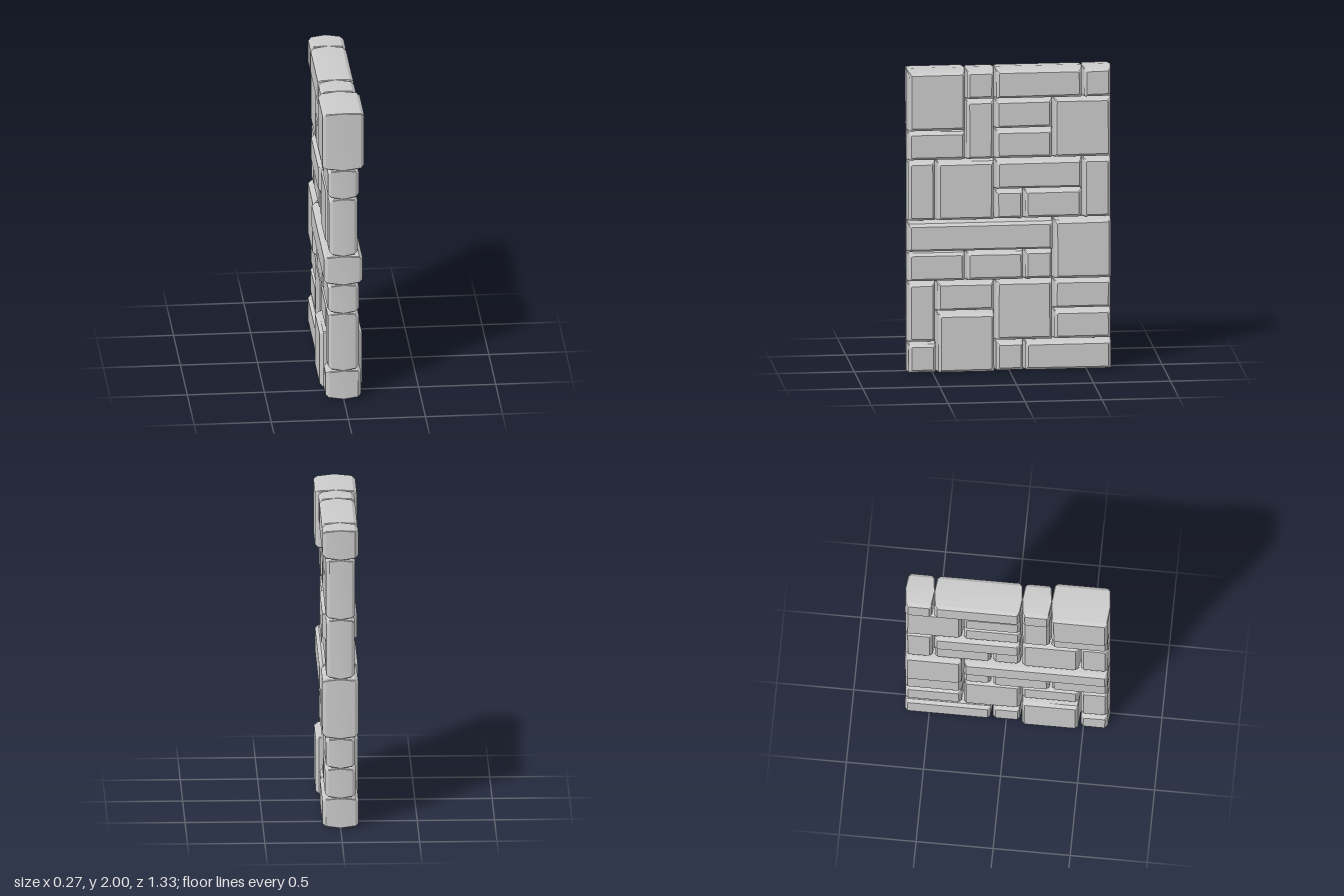
import * as THREE from 'three';
import { toCreasedNormals } from 'three/addons/utils/BufferGeometryUtils.js';

const material = new THREE.MeshStandardMaterial({ color: 0xcccccc });
const CELL_Z = 0.19, CELL_Y = 0.2, END_Z = 0.665;

// stones on a 7 x 10 cell grid: [column from, to, row from, to, half thickness]
const stones = [
  [0, 2, 8, 10, 0.135], [2, 3, 9, 10, 0.115], [3, 6, 9, 10, 0.115], [6, 7, 9, 10, 0.115],
  [2, 3, 7, 9, 0.095], [3, 5, 8, 9, 0.1], [3, 5, 7, 8, 0.095], [5, 7, 7, 9, 0.095],
  [0, 2, 7, 8, 0.1], [0, 1, 5, 7, 0.092], [1, 3, 5, 7, 0.1], [3, 6, 6, 7, 0.112],
  [3, 4, 5, 6, 0.09], [4, 6, 5, 6, 0.09], [6, 7, 5, 7, 0.092], [0, 5, 4, 5, 0.125],
  [5, 7, 3, 5, 0.115], [0, 2, 3, 4, 0.1], [2, 4, 3, 4, 0.105], [4, 5, 3, 4, 0.095],
  [0, 1, 1, 3, 0.1], [1, 3, 2, 3, 0.1], [3, 5, 1, 3, 0.1], [5, 7, 2, 3, 0.095],
  [5, 7, 1, 2, 0.1], [0, 1, 0, 1, 0.115], [1, 3, 0, 2, 0.137], [3, 4, 0, 1, 0.112],
  [4, 7, 0, 1, 0.117],
];

let seed = 7;
function random() {
  seed = (seed * 16807) % 2147483647;
  return seed / 2147483647;
}

// rectangle in the wall plane with cut corners, drawn inward by inset
function ring(x, width, height, inset, cut, wobble) {
  const w = width / 2 - inset, h = height / 2 - inset;
  const points = [];
  for (const [sy, sz, flip] of [[-1, -1, 0], [1, -1, 1], [1, 1, 0], [-1, 1, 1]]) {
    const dy = h - random() * wobble, dz = w - random() * wobble;
    const pair = [[x, sy * dy, sz * (dz - cut)], [x, sy * (dy - cut), sz * dz]];
    points.push(...(flip ? pair.reverse() : pair));
  }
  return points;
}

// stone lofted through the wall: bowed sides, then a bevel round each face
function stoneGeometry(width, height, half) {
  const rings = [
    ring(-half, width, height, 0.023, 0.006, 0.004),
    ring(-half + 0.022, width, height, 0.007, 0.006, 0.002),
    ring(0, width, height, 0, 0.002, 0),
    ring(half - 0.022, width, height, 0.007, 0.006, 0.002),
    ring(half, width, height, 0.023, 0.006, 0.004),
  ];
  const n = 8, index = [];
  for (let r = 0; r < rings.length - 1; r++) {
    for (let i = 0; i < n; i++) {
      const a = r * n + i, b = r * n + (i + 1) % n;
      index.push(a, b + n, b, a, a + n, b + n);
    }
  }
  const last = (rings.length - 1) * n;
  for (let i = 1; i < n - 1; i++) {
    index.push(0, i, i + 1, last, last + i + 1, last + i);
  }
  // the loops run so that these windings need turning to face outward
  for (let i = 0; i < index.length; i += 3) {
    [index[i + 1], index[i + 2]] = [index[i + 2], index[i + 1]];
  }
  const geometry = new THREE.BufferGeometry();
  geometry.setAttribute('position', new THREE.Float32BufferAttribute(rings.flat(2), 3));
  geometry.setIndex(index);
  return outward(toCreasedNormals(geometry, 0.4));
}

// turns the triangles of a convex, origin-centred shape to face outward
function outward(geometry) {
  const p = geometry.attributes.position, a = new THREE.Vector3();
  const b = new THREE.Vector3(), c = new THREE.Vector3();
  let volume = 0;
  for (let i = 0; i < p.count; i += 3) {
    a.fromBufferAttribute(p, i);
    b.fromBufferAttribute(p, i + 1);
    c.fromBufferAttribute(p, i + 2);
    volume += a.dot(b.cross(c));
  }
  if (volume > 0) return geometry;
  for (let i = 0; i < p.count; i += 3) {
    b.fromBufferAttribute(p, i + 1);
    c.fromBufferAttribute(p, i + 2);
    p.setXYZ(i + 1, c.x, c.y, c.z);
    p.setXYZ(i + 2, b.x, b.y, b.z);
  }
  geometry.deleteAttribute('normal');
  return toCreasedNormals(geometry, 0.4);
}

export function createModel() {
  const wall = new THREE.Group();
  wall.name = 'stoneWall';
  stones.forEach(([c0, c1, r0, r1, half], i) => {
    const geometry = stoneGeometry((c1 - c0) * CELL_Z, (r1 - r0) * CELL_Y, half);
    const stone = new THREE.Mesh(geometry, material);
    stone.name = `stone${i + 1}`;
    stone.position.set(0, (r0 + r1) / 2 * CELL_Y, END_Z - (c0 + c1) / 2 * CELL_Z);
    wall.add(stone);
  });
  return wall;
}
